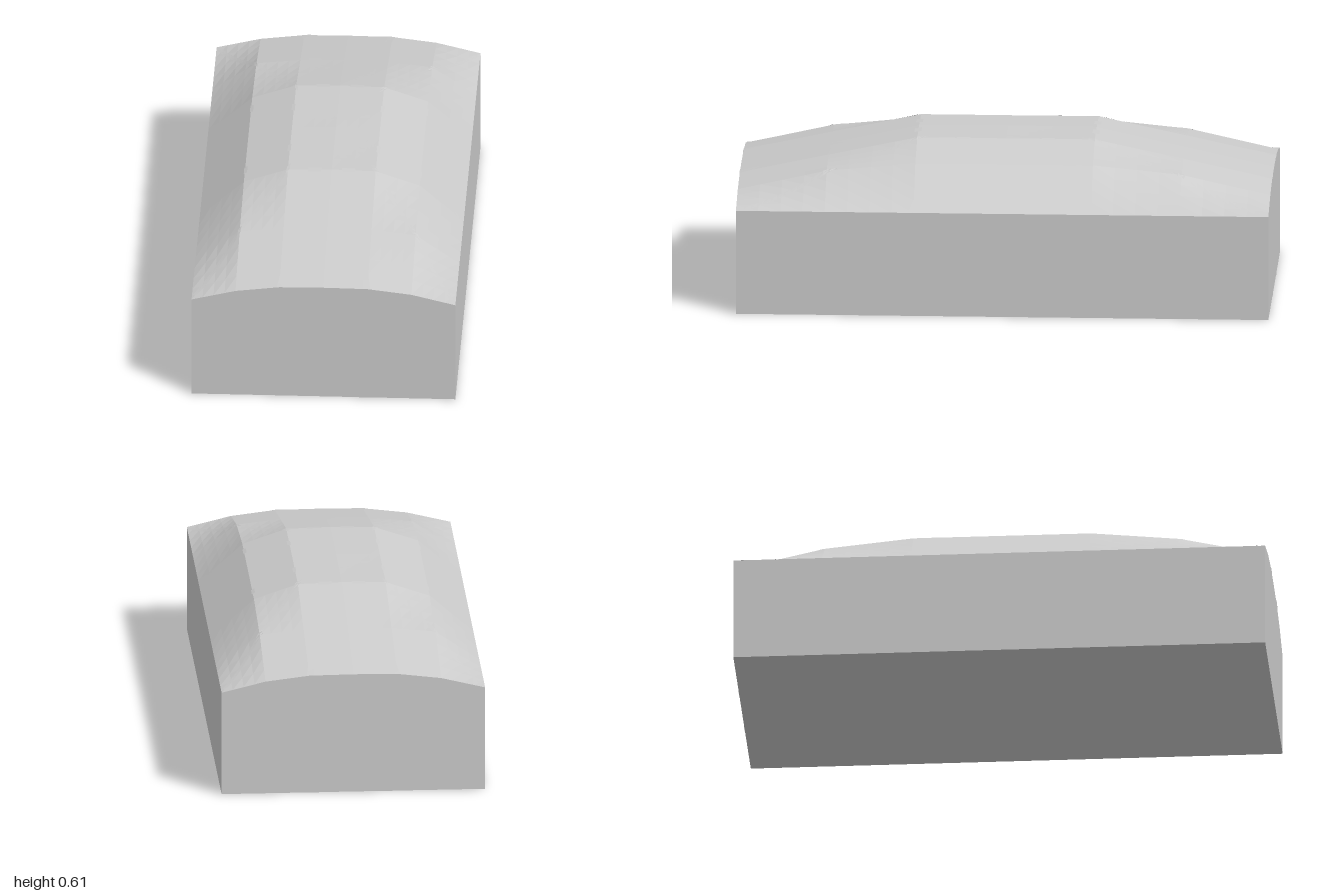
import * as THREE from 'three';

// Cover heights over one quadrant: rows step in |z|, columns in |x|
const STEP_X = 0.165, STEP_Z = 1 / 3;
const HEIGHTS = [
  [0.61, 0.604, 0.548, 0.4],
  [0.608, 0.604, 0.548, 0.4],
  [0.535, 0.533, 0.515, 0.4],
  [0.462, 0.46, 0.44, 0.4],
];

function coverHeight(x, z) {
  const u = Math.min(Math.abs(x) / STEP_X, 3), v = Math.min(Math.abs(z) / STEP_Z, 3);
  const i = Math.min(Math.floor(u), 2), j = Math.min(Math.floor(v), 2);
  const near = THREE.MathUtils.lerp(HEIGHTS[j][i], HEIGHTS[j][i + 1], u - i);
  const far = THREE.MathUtils.lerp(HEIGHTS[j + 1][i], HEIGHTS[j + 1][i + 1], u - i);
  return THREE.MathUtils.lerp(near, far, v - j);
}

// Flat strap draped over the cover between two plan points [x, z]
function strapGeometry(from, to, width, alongX) {
  const geometry = new THREE.PlaneGeometry(1, 1, 2, 36);
  const p = geometry.attributes.position;
  for (let i = 0; i < p.count; i++) {
    const t = p.getY(i) + 0.5, side = p.getX(i) * width;
    const x = THREE.MathUtils.lerp(from[0], to[0], t) + (alongX ? 0 : side);
    const z = THREE.MathUtils.lerp(from[1], to[1], t) + (alongX ? side : 0);
    p.setXYZ(i, x, coverHeight(x, z) + 0.0015, z);
  }
  geometry.computeVertexNormals();
  return geometry;
}

export function createModel() {
  const model = new THREE.Group();
  const grey = new THREE.MeshStandardMaterial({ color: 0xcccccc, flatShading: true });
  const strapGrey = new THREE.MeshStandardMaterial({
    color: 0xcccccc, flatShading: true, side: THREE.DoubleSide,
  });
  const add = (name, geometry, material) => {
    const mesh = new THREE.Mesh(geometry, material);
    mesh.name = name;
    model.add(mesh);
    return mesh;
  };

  // Block with a faceted, domed top
  const block = new THREE.BoxGeometry(0.99, 0.4, 1.998, 24, 1, 24);
  const p = block.attributes.position;
  for (let i = 0; i < p.count; i++) {
    p.setY(i, p.getY(i) > 0 ? coverHeight(p.getX(i), p.getZ(i)) : 0);
  }
  block.computeVertexNormals();
  add('coveredBlock', block, grey);

  // Straps radiating from the crown, mirrored into the four quadrants
  for (const sx of [-1, 1]) {
    for (const sz of [-1, 1]) {
      add('endStrap', strapGeometry([sx * 0.028, sz * 0.06], [sx * 0.15, sz], 0.05, false), strapGrey);
      add('sideStrap', strapGeometry([sx * 0.05, sz * 0.1], [sx * 0.494, sz * 0.33], 0.05, true), strapGrey);
      add('cornerStrap', strapGeometry([sx * 0.05, sz * 0.09], [sx * 0.482, sz * 0.97], 0.02, false), strapGrey);

      // Strap tail hanging down the end wall
      const tail = add('strapTail', new THREE.PlaneGeometry(0.05, 0.46), strapGrey);
      tail.position.set(sx * 0.15, 0.23, sz);
      if (sz < 0) tail.rotation.y = Math.PI;
    }
  }
  return model;
}
